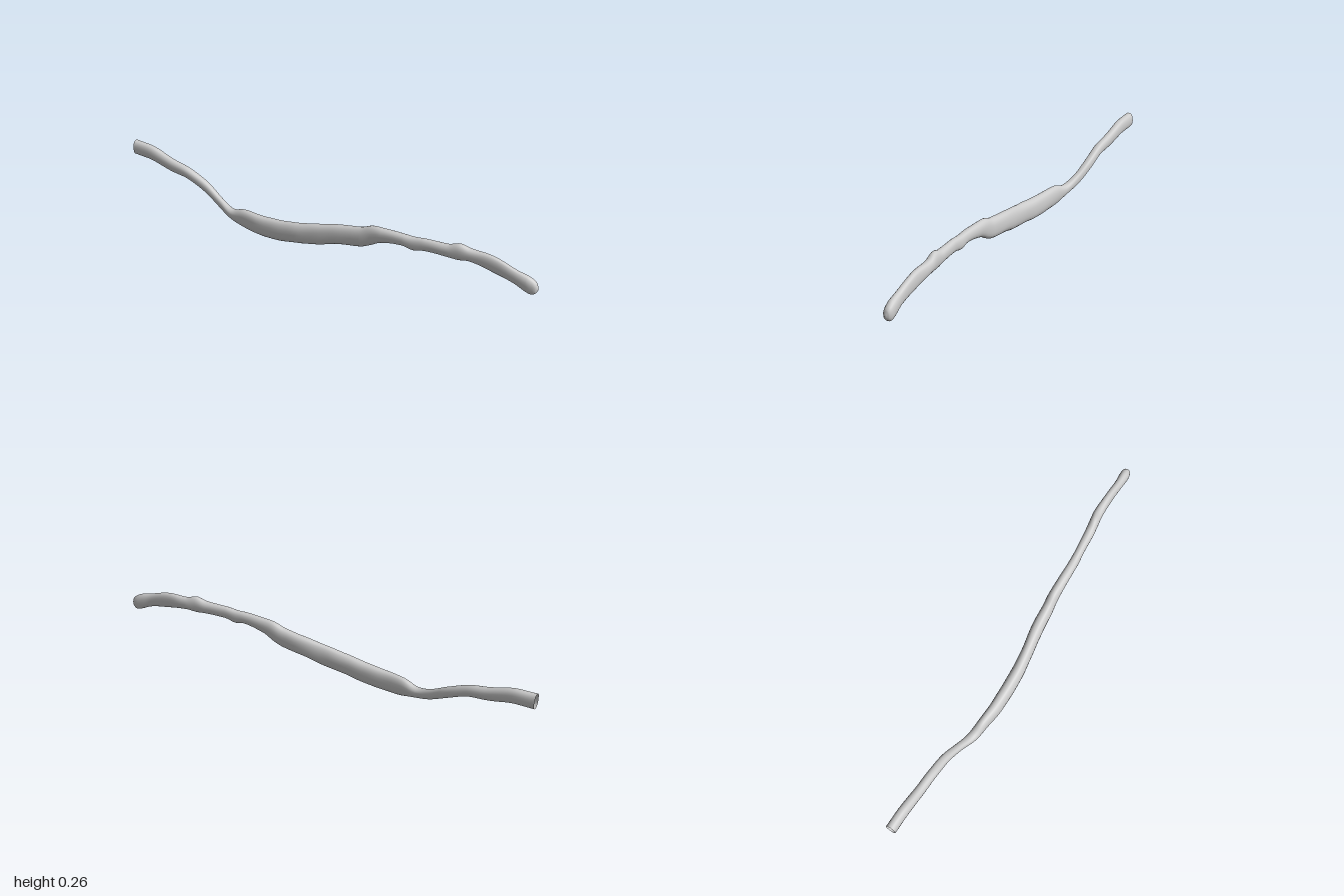
import * as THREE from 'three';

// Stations along the strand: x, top y, bottom y, back z, front z
const STATIONS = [
  [-1.0, 0.267, 0.195, -0.024, 0.022], [-0.9, 0.258, 0.188, -0.024, 0.022],
  [-0.8, 0.225, 0.163, -0.021, 0.022], [-0.7, 0.2, 0.147, -0.02, 0.022],
  [-0.6, 0.153, 0.1, -0.018, 0.022], [-0.52, 0.104, 0.055, -0.003, 0.034],
  [-0.45, 0.078, 0.03, 0.01, 0.055], [-0.38, 0.099, 0.01, 0.015, 0.062],
  [-0.3, 0.1, 0.002, 0.018, 0.072], [-0.2, 0.106, 0.004, 0.016, 0.074],
  [-0.1, 0.12, 0.02, 0.013, 0.07], [0.0, 0.14, 0.036, 0.003, 0.056],
  [0.1, 0.16, 0.064, -0.014, 0.042], [0.2, 0.177, 0.08, -0.02, 0.032],
  [0.25, 0.196, 0.1, -0.023, 0.026], [0.3, 0.2, 0.128, -0.024, 0.023],
  [0.4, 0.201, 0.146, -0.025, 0.018], [0.45, 0.2, 0.136, -0.028, 0.014],
  [0.5, 0.205, 0.147, -0.031, 0.008], [0.6, 0.206, 0.146, -0.044, 0.0],
  [0.65, 0.22, 0.141, -0.051, -0.007], [0.7, 0.206, 0.146, -0.06, -0.016],
  [0.8, 0.2, 0.125, -0.061, -0.023], [0.9, 0.166, 0.099, -0.064, -0.026],
  [0.95, 0.151, 0.074, -0.071, -0.027], [0.975, 0.139, 0.067, -0.073, -0.031],
  [0.992, 0.124, 0.077, -0.068, -0.037], [1.0, 0.104, 0.092, -0.056, -0.048],
];
const SIDES = 20;
const STEPS = 5; // rings between neighbouring stations

// Catmull-Rom through the stations, with uneven spacing in x taken into account
function sample(i, t) {
  const at = (k) => STATIONS[Math.min(Math.max(k, 0), STATIONS.length - 1)];
  const [p0, p1, p2, p3] = [at(i - 1), at(i), at(i + 1), at(i + 2)];
  const h = p2[0] - p1[0];
  return p1.map((v, c) => {
    if (c === 0) return v + h * t;
    const m1 = h * (p2[c] - p0[c]) / (p2[0] - p0[0]);
    const m2 = h * (p3[c] - p1[c]) / (p3[0] - p1[0]);
    const t2 = t * t, t3 = t2 * t;
    return (2 * t3 - 3 * t2 + 1) * v + (t3 - 2 * t2 + t) * m1
      + (3 * t2 - 2 * t3) * p2[c] + (t3 - t2) * m2;
  });
}

// Slightly squared oval with shallow lumps
function ringPoint([x, top, bottom, back, front], j) {
  const a = (j / SIDES) * Math.PI * 2;
  const c = Math.cos(a), s = Math.sin(a);
  const squared = (v) => Math.sign(v) * Math.pow(Math.abs(v), 0.88);
  const lump = 1 - 0.035 * (0.5 + 0.5 * Math.sin(x * 41 + 2 * a) * Math.cos(x * 23 - 3 * a));
  return [
    x,
    (top + bottom) / 2 + squared(c) * lump * (top - bottom) / 2,
    (front + back) / 2 + squared(s) * lump * (front - back) / 2,
  ];
}

function strandGeometry() {
  const rings = [];
  for (let i = 0; i < STATIONS.length - 1; i++)
    for (let k = 0; k < STEPS; k++) rings.push(sample(i, k / STEPS));
  rings.push(STATIONS[STATIONS.length - 1]);

  const positions = [], index = [];
  for (const ring of rings)
    for (let j = 0; j < SIDES; j++) positions.push(...ringPoint(ring, j));
  for (let r = 0; r < rings.length - 1; r++) {
    for (let j = 0; j < SIDES; j++) {
      const a = r * SIDES + j, b = r * SIDES + (j + 1) % SIDES;
      index.push(a, a + SIDES, b, b, a + SIDES, b + SIDES);
    }
  }
  // Close the rounded tip; the other end stays open
  const last = (rings.length - 1) * SIDES, tip = rings.length * SIDES;
  const [x, top, bottom, back, front] = rings[rings.length - 1];
  positions.push(x, (top + bottom) / 2, (back + front) / 2);
  for (let j = 0; j < SIDES; j++) index.push(last + j, tip, last + (j + 1) % SIDES);

  const geometry = new THREE.BufferGeometry();
  geometry.setAttribute('position', new THREE.Float32BufferAttribute(positions, 3));
  geometry.setIndex(index);
  geometry.computeVertexNormals();
  return geometry;
}

export function createModel() {
  const group = new THREE.Group();
  group.name = 'hollowStrand';
  const material = new THREE.MeshStandardMaterial({ color: 0xcccccc, side: THREE.DoubleSide });
  const strand = new THREE.Mesh(strandGeometry(), material);
  strand.name = 'tubeWall';
  group.add(strand);
  return group;
}
